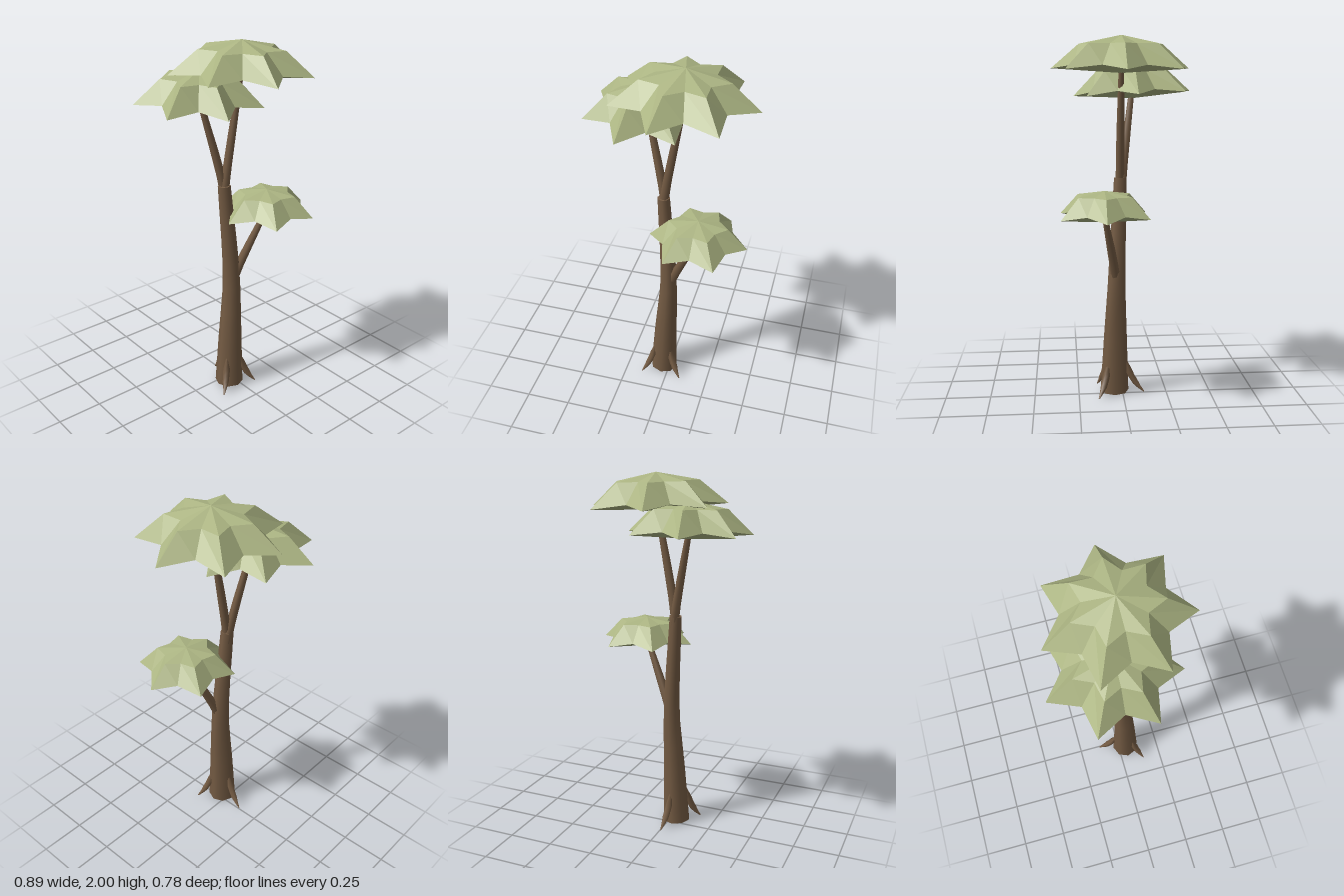
import * as THREE from 'three';

const bark = new THREE.MeshStandardMaterial({ color: 0x755c44 });
bark.name = 'bark';
const leaf = new THREE.MeshStandardMaterial({ color: 0xacb583, flatShading: true });
leaf.name = 'leaf';

const V = (p) => new THREE.Vector3(...p);

// Flat disc closing one ring of a limb
function capGeometry(ring, flip) {
  const centre = ring.reduce((s, p) => s.add(p), new THREE.Vector3()).divideScalar(ring.length);
  const pts = [];
  ring.forEach((p, i) => {
    const q = ring[(i + 1) % ring.length];
    pts.push(centre, ...(flip ? [q, p] : [p, q]));
  });
  const geo = new THREE.BufferGeometry().setFromPoints(pts);
  geo.computeVertexNormals();
  return geo;
}

// Round limb along a curve, its radius eased between the given values
function limb(name, points, radii, sides, segments) {
  const curve = new THREE.CatmullRomCurve3(points.map(V));
  const geo = new THREE.TubeGeometry(curve, segments, 1, sides);
  const pos = geo.attributes.position;
  const nor = geo.attributes.normal;
  const rings = [];
  for (let i = 0; i <= segments; i++) {
    const f = (i / segments) * (radii.length - 1);
    const k = Math.min(Math.floor(f), radii.length - 2);
    const r = THREE.MathUtils.lerp(radii[k], radii[k + 1], f - k);
    const c = curve.getPointAt(i / segments);
    const ring = [];
    for (let j = 0; j <= sides; j++) {
      const n = i * (sides + 1) + j;
      const p = new THREE.Vector3().fromBufferAttribute(nor, n).multiplyScalar(r).add(c);
      pos.setXYZ(n, p.x, p.y, p.z);
      if (j < sides) ring.push(p);
    }
    rings.push(ring);
  }
  const group = new THREE.Group();
  group.name = name;
  group.add(new THREE.Mesh(geo, bark));
  // Orient each cap so that it faces away from the limb
  [[0, -1], [segments, 1]].forEach(([i, sign]) => {
    const [a, b] = rings[i];
    const c = curve.getPointAt(i / segments);
    const n = a.clone().sub(c).cross(b.clone().sub(c));
    const flip = n.dot(curve.getTangentAt(i / segments)) * sign < 0;
    group.add(new THREE.Mesh(capGeometry(rings[i], flip), bark));
  });
  group.children.forEach((m) => { m.name = name + 'Surface'; });
  return group;
}

// Pleated star-shaped canopy: top point, shoulder ring, rim ring, underside point
function canopy(name, { at, tips, radius, valley, shoulder, rim, lift, under, tilt }) {
  const n = tips * 2;
  const ring = (scale, y, rise) => Array.from({ length: n }, (_, i) => {
    const a = (i / n) * Math.PI * 2;
    const r = radius * scale * (i % 2 ? valley : 1);
    return new THREE.Vector3(r * Math.cos(a), y + (i % 2 ? rise : 0), r * Math.sin(a));
  });
  const top = new THREE.Vector3();
  const bottom = new THREE.Vector3(0, -under, 0);
  const inner = ring(0.6, -shoulder, 0);
  const outer = ring(1, -rim, lift);
  const pts = [];
  for (let i = 0; i < n; i++) {
    const j = (i + 1) % n;
    pts.push(top, inner[j], inner[i]);
    pts.push(inner[i], inner[j], outer[i], inner[j], outer[j], outer[i]);
    pts.push(bottom, outer[i], outer[j]);
  }
  const geo = new THREE.BufferGeometry().setFromPoints(pts);
  geo.computeVertexNormals();
  const mesh = new THREE.Mesh(geo, leaf);
  mesh.name = name;
  mesh.position.set(...at);
  mesh.rotation.set(tilt[0], 0, tilt[1]);
  return mesh;
}

export function createModel() {
  const tree = new THREE.Group();
  tree.name = 'tree';

  // Trunk and branches
  tree.add(limb('trunk', [[-0.035, 0.012, 0.045], [-0.022, 0.35, 0.04], [-0.008, 0.68, 0.033], [-0.04, 1.24, 0.01]],
    [0.08, 0.066, 0.05, 0.042, 0.035], 8, 8));
  tree.add(limb('topBranch', [[-0.045, 1.18, 0.01], [-0.02, 1.35, 0.012], [0.07, 1.83, 0.012]], [0.026, 0.022, 0.015], 7, 4));
  tree.add(limb('backBranch', [[-0.03, 1.18, 0.005], [-0.055, 1.32, -0.01], [-0.14, 1.7, -0.06]], [0.026, 0.022, 0.016], 7, 4));
  tree.add(limb('lowBranch', [[-0.005, 0.66, 0.035], [0.035, 0.76, 0.05], [0.17, 1.06, 0.108]], [0.028, 0.023, 0.015], 7, 4));

  // Roots flaring out from the trunk base
  [[-0.115, 0.095], [0.12, 0.095], [0.03, -0.168]].forEach(([x, z], i) => {
    const at = (t, y) => [-0.035 + x * t, y, 0.045 + z * t];
    tree.add(limb('root' + (i + 1), [at(0.36, 0.2), at(0.54, 0.11), at(0.78, 0.045), at(1, 0.006)],
      [0.006, 0.02, 0.018, 0.003], 6, 6));
  });

  // Leaf canopies
  tree.add(canopy('topCanopy', { at: [0.075, 2, 0.012], tips: 7, radius: 0.38, valley: 0.68,
    shoulder: 0.045, rim: 0.172, lift: 0.02, under: 0.195, tilt: [0, -0.03] }));
  tree.add(canopy('backCanopy', { at: [-0.14, 1.867, -0.06], tips: 7, radius: 0.338, valley: 0.68,
    shoulder: 0.042, rim: 0.17, lift: 0.02, under: 0.195, tilt: [0.045, 0] }));
  tree.add(canopy('lowCanopy', { at: [0.175, 1.197, 0.11], tips: 6, radius: 0.266, valley: 0.73,
    shoulder: 0.025, rim: 0.135, lift: 0.022, under: 0.167, tilt: [0, 0] }));

  return tree;
}
